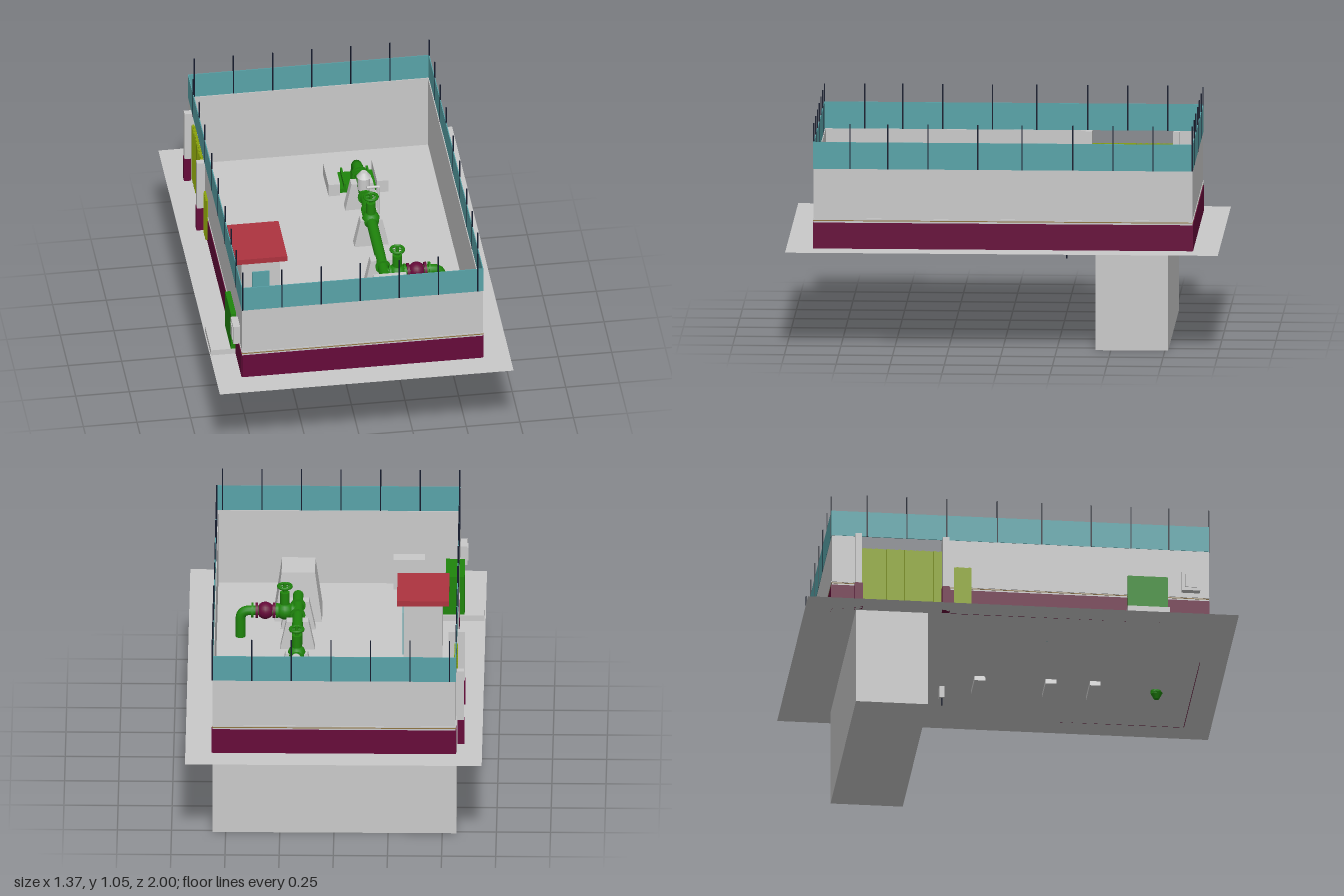
import * as THREE from 'three';

const mat = (name, color, side = THREE.FrontSide) => {
  const m = new THREE.MeshStandardMaterial({ color, side });
  m.name = name;
  return m;
};

export function createModel() {
  const root = new THREE.Group();
  root.name = 'pumpStation';
  const grey = mat('concrete grey', 0xc9c9c9, THREE.DoubleSide);
  const maroon = mat('maroon paint', 0x660a3a);
  const teal = mat('teal screen', 0x58a3a8);
  const navy = mat('dark post', 0x141a2c);
  const green = mat('pipe green', 0x1f850c);
  const lime = mat('lime gate', 0x8aa30c);
  const red = mat('red roof', 0xad333f);
  const ochre = mat('ochre line', 0x8f7440);
  const G = 0.467; // ground level

  const add = (name, geo, m, x = 0, y = 0, z = 0, parent = root) => {
    const mesh = new THREE.Mesh(geo, m);
    mesh.name = name;
    mesh.position.set(x, y, z);
    parent.add(mesh);
    return mesh;
  };
  // box given by its limits
  const box = (name, m, x0, x1, y0, y1, z0, z1) =>
    add(name, new THREE.BoxGeometry(x1 - x0, y1 - y0, z1 - z0), m, (x0 + x1) / 2, (y0 + y1) / 2, (z0 + z1) / 2);
  // box whose top is scaled in x and z
  const taper = (name, m, w, h, d, sx, sz, x, y0, z) => {
    const g = new THREE.BoxGeometry(w, h, d);
    const p = g.attributes.position;
    for (let i = 0; i < p.count; i++) {
      if (p.getY(i) > 0) p.setXYZ(i, p.getX(i) * sx, p.getY(i), p.getZ(i) * sz);
    }
    g.computeVertexNormals();
    return add(name, g, m, x, y0 + h / 2, z);
  };
  // cylinder along an axis
  const cyl = (name, m, r, len, axis, x, y, z, r2 = r) => {
    const g = new THREE.CylinderGeometry(r2, r, len, 16);
    if (axis === 'x') g.rotateZ(-Math.PI / 2);
    if (axis === 'z') g.rotateX(Math.PI / 2);
    return add(name, g, m, x, y, z);
  };
  const tube = (name, m, r, pts) => {
    const path = new THREE.CurvePath();
    const v = pts.map(p => new THREE.Vector3(...p));
    path.add(new THREE.LineCurve3(v[0], v[1]));
    path.add(new THREE.QuadraticBezierCurve3(v[1], v[2], v[3]));
    path.add(new THREE.LineCurve3(v[3], v[4]));
    return add(name, new THREE.TubeGeometry(path, 40, r, 14, false), m);
  };

  // Ground sheet and the underground chamber
  const ground = new THREE.PlaneGeometry(1.37, 2);
  ground.rotateX(-Math.PI / 2);
  add('ground', ground, grey, 0, G, 0);
  box('chamber', grey, -0.565, 0.56, 0, G - 0.002, -0.765, -0.43);

  // Perimeter wall: grey panel, maroon base outside, thin lines, teal screen
  const X0 = -0.563, X1 = 0.56, Z0 = -0.877, Z1 = 0.873, T = 0.006;
  const wall = (axis, at, out, a, b) => {
    const part = (name, m, y0, y1, inner, outer) => {
      const lo = Math.min(at + out * inner, at + out * outer), hi = Math.max(at + out * inner, at + out * outer);
      if (axis === 'x') box(name, m, lo, hi, y0, y1, a, b);
      else box(name, m, a, b, y0, y1, lo, hi);
    };
    part('wallPanel', grey, G, 0.84, -T, 0);
    part('wallBase', maroon, G, 0.588, 0, 0.003);
    part('wallLine', ochre, 0.596, 0.6, 0, 0.002);
    part('wallLine', grey, 0.603, 0.608, 0, 0.003);
  };
  wall('z', Z1, 1, X0, X1);
  wall('z', Z0, -1, X0, X1);
  wall('x', X1, 1, Z0, Z1);
  wall('x', X0, -1, Z0, -0.755);
  wall('x', X0, -1, -0.35, Z1);
  for (const z of [Z0, Z1]) box('screen', teal, X0, X1, 0.84, 0.965, z - 0.002, z + 0.002);
  for (const x of [X0, X1]) box('screen', teal, x - 0.002, x + 0.002, 0.84, 0.965, Z0, Z1);

  // Posts holding the screen
  const post = (x, z) => box('screenPost', navy, x - 0.003, x + 0.003, 0.84, 1.05, z - 0.003, z + 0.003);
  for (let i = 0; i < 7; i++) {
    post(-0.56 + i * 0.1825, Z1);
    post(0.56 - i * 0.1825, Z0);
  }
  for (const z of [0.705, 0.53, 0.345, 0.115, -0.09, -0.325, -0.51, -0.695]) {
    post(X1, z);
    post(X0, z - 0.018);
  }

  // Gate with its pillars and the wicket beside it
  for (const z of [-0.755, -0.35]) {
    box('gatePillar', grey, -0.6, -0.525, G, 0.84, z - 0.015, z + 0.015);
    box('pillarBase', maroon, -0.603, -0.57, G, 0.588, z - 0.018, z + 0.018);
  }
  box('gate', lime, -0.563, -0.557, 0.48, 0.78, -0.738, -0.366);
  for (let i = 0; i < 14; i++) {
    const z = -0.73 + i * 0.027;
    box('gateRib', lime, -0.568, -0.552, 0.48, 0.78, z, z + 0.012);
  }
  box('wicket', lime, -0.572, -0.553, 0.48, 0.7, -0.31, -0.23);
  for (let i = 0; i < 3; i++) box('wicketRib', lime, -0.576, -0.549, 0.48, 0.7, -0.3 + i * 0.028, -0.29 + i * 0.028);

  // Side entrance: slab, green doorway and slatted steps
  box('entranceSlab', grey, -0.68, -0.34, G, 0.495, 0.485, 0.68);
  box('entranceDoor', green, -0.588, -0.5, 0.495, 0.69, 0.495, 0.68);
  box('entranceStep', green, -0.5, -0.42, 0.495, 0.6, 0.495, 0.68);
  for (let i = 0; i < 9; i++) box('entranceSlat', green, -0.42, -0.4, 0.495, 0.59, 0.52 + i * 0.016, 0.528 + i * 0.016);
  box('wallCabinet', grey, -0.598, -0.566, 0.625, 0.72, 0.745, 0.83);
  box('cabinetDoor', grey, -0.602, -0.598, 0.64, 0.705, 0.76, 0.815);
  box('innerCabinet', grey, -0.4, -0.255, G, 0.62, 0.805, 0.866);

  // Guard hut
  box('hut', grey, -0.49, -0.31, G, 0.745, 0.11, 0.34);
  box('hutRoof', red, -0.52, -0.28, 0.745, 0.772, 0.08, 0.37);
  box('hutDoor', teal, -0.31, -0.305, G, 0.68, 0.14, 0.22);
  box('hutWindow', teal, -0.44, -0.36, 0.58, 0.68, 0.34, 0.345);

  // Main pipe, diving into the chamber at the back and into the ground in front
  const P = 0.18, PY = 0.6;
  tube('mainPipeRear', green, 0.025, [[P, PY, 0.5], [P, PY, -0.54], [P, PY, -0.6], [P, PY - 0.06, -0.6], [P, 0.003, -0.6]]);
  tube('mainPipeFront', green, 0.025, [[P, PY, 0.45], [P, PY, 0.66], [P, PY, 0.7], [P, PY - 0.04, 0.7], [P, 0.45, 0.705]]);
  cyl('pipeMouth', green, 0.012, 0.03, 'y', P, 0.442, 0.708, 0.028);
  taper('anchorBlock', grey, 0.22, 0.245, 0.195, 0.7, 0.8, P, G, 0.565);
  for (const z of [-0.42, -0.12, 0.21, 0.415]) {
    taper('pipeSupport', grey, 0.17, 0.165, 0.05, 0.6, 0.9, P, 0.443, z);
  }
  for (const z of [-0.5, -0.48, -0.3, -0.2, -0.18, 0.27, 0.37]) cyl('pipeFlange', green, 0.035, 0.01, 'z', P, PY, z);

  // Pit hatch at the back
  box('pitCover', green, 0.09, 0.265, G, 0.49, -0.675, -0.54);
  for (const s of [-1, 1]) {
    box('pitCurb', grey, P + s * 0.113 - 0.027, P + s * 0.113 + 0.027, G, 0.53, -0.7, -0.52);
    box('pitRib', green, P + s * 0.06 - 0.005, P + s * 0.06 + 0.005, 0.49, 0.515, -0.675, -0.54);
  }

  // Gate valve: body, stem and handwheel
  const valve = (x, z) => {
    add('valveBody', new THREE.SphereGeometry(0.042, 16, 12), green, x, PY, z);
    cyl('valveBonnet', green, 0.022, 0.07, 'y', x, PY + 0.06, z);
    cyl('valveStem', green, 0.008, 0.06, 'y', x, 0.71, z);
    const wheel = new THREE.TorusGeometry(0.03, 0.007, 8, 20);
    wheel.rotateX(Math.PI / 2);
    add('handwheel', wheel, green, x, 0.725, z);
    for (const a of ['x', 'z']) cyl('wheelSpoke', green, 0.004, 0.06, a, x, 0.725, z);
  };
  valve(P, -0.12);
  valve(0.24, 0.32);

  // Branch pipe with a maroon meter, bending down at its end
  tube('branchPipe', green, 0.023, [[P, PY, 0.32], [0.4, PY, 0.32], [0.445, PY, 0.32], [0.445, PY - 0.045, 0.32], [0.445, G, 0.32]]);
  add('meter', new THREE.SphereGeometry(0.04, 16, 12), maroon, 0.33, PY, 0.32);
  for (const x of [0.29, 0.37]) cyl('meterFlange', maroon, 0.036, 0.012, 'x', x, PY, 0.32);
  for (const x of [0.205, 0.275, 0.39]) cyl('branchFlange', green, 0.035, 0.01, 'x', x, PY, 0.32);

  // Air valve on the main pipe and its drain
  cyl('airValve', grey, 0.03, 0.07, 'y', P, 0.65, -0.35);
  cyl('airValveCap', grey, 0.034, 0.025, 'y', P, 0.695, -0.35, 0.015);
  cyl('airValveArm', grey, 0.006, 0.06, 'x', 0.215, 0.66, -0.29);
  cyl('drainPost', grey, 0.006, 0.2, 'y', 0.24, 0.56, -0.285);
  box('drainBase', grey, 0.227, 0.253, 0.412, G, -0.295, -0.27);
  cyl('drainRod', navy, 0.003, 0.04, 'y', 0.24, 0.395, -0.282);
  return root;
}
